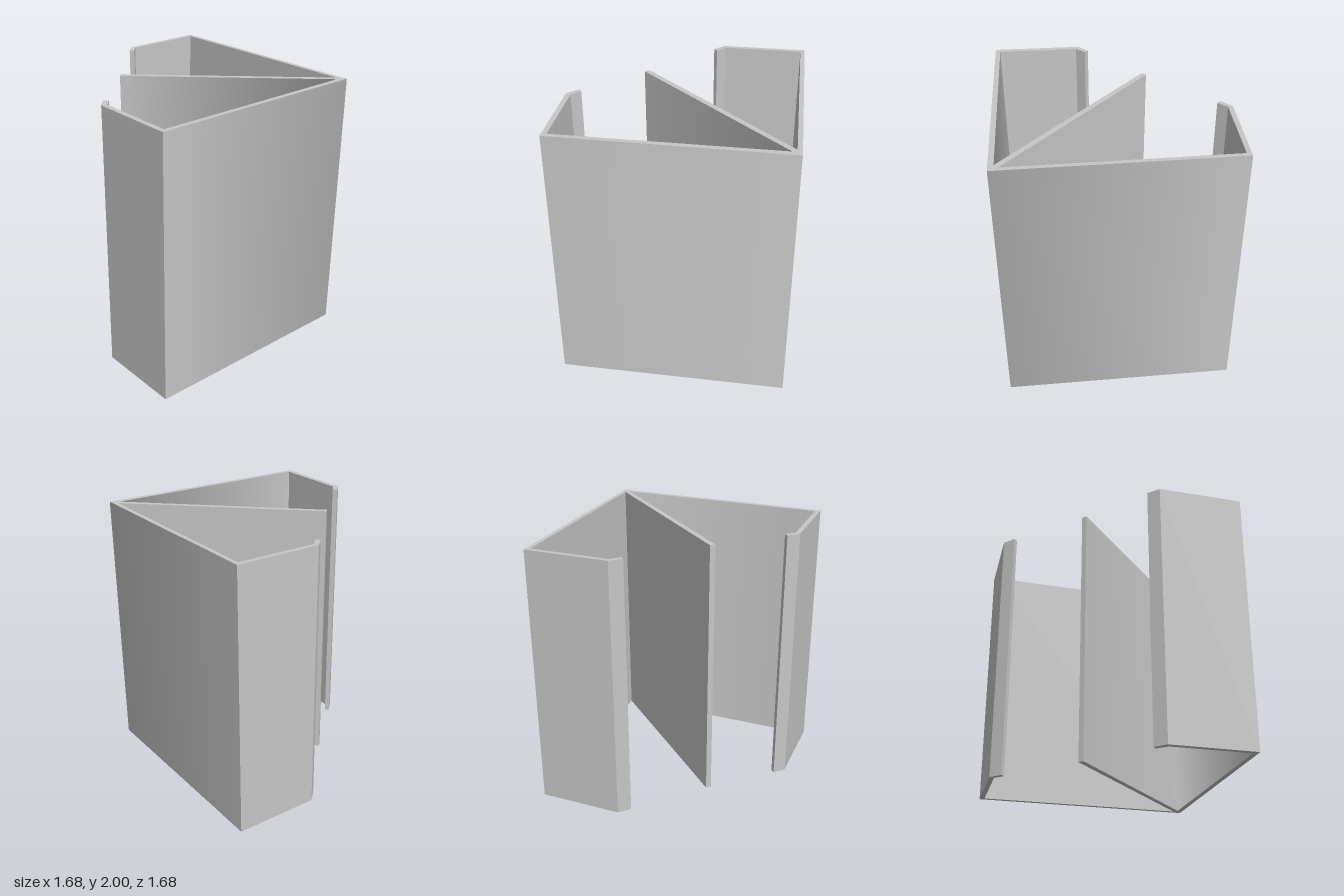
import * as THREE from 'three';

const HEIGHT = 2;
const OUTER_CORNER = [0.84, 0.84];
const FIN_ROOT = [0.775, 0.8];

// Plan outline as [x, z], walked once around the wall
const OUTLINE = [
  // front wall, right wall and back flange, outside
  [-0.84, 0.835], OUTER_CORNER, [0.8, -0.84], [0.17, -0.835],
  // back lip
  [0.095, -0.76], [0.12, -0.735], [0.18, -0.8],
  // back flange and right wall, inside
  [0.768, -0.805], [0.805, 0.772],
  // diagonal fin
  [-0.335, -0.285], [-0.365, -0.257], FIN_ROOT,
  // front wall and left flange, inside
  [-0.803, 0.8], [-0.805, 0.212],
  // left lip
  [-0.745, 0.145], [-0.77, 0.12], [-0.843, 0.195],
];

// Blend the side normals along one vertical edge so the two walls shade as one
function smoothEdge(geometry, [x, z]) {
  const { position, normal } = geometry.attributes;
  const found = [];
  const sides = new Map();
  for (let i = 0; i < position.count; i++) {
    const near = Math.hypot(position.getX(i) - x, position.getZ(i) - z) < 1e-4;
    if (!near || Math.abs(normal.getY(i)) > 0.5) continue;
    found.push(i);
    const n = new THREE.Vector3().fromBufferAttribute(normal, i);
    sides.set(n.x.toFixed(2) + ',' + n.z.toFixed(2), n);
  }
  const sum = new THREE.Vector3();
  sides.forEach((n) => sum.add(n));
  sum.normalize();
  found.forEach((i) => normal.setXYZ(i, sum.x, sum.y, sum.z));
}

export function createModel() {
  const model = new THREE.Group();
  model.name = 'channelSection';

  const metal = new THREE.MeshStandardMaterial({ color: 0xc6c6c6 });
  metal.name = 'light grey metal';

  // Extrude the plan upward; shape y becomes -z
  const shape = new THREE.Shape(OUTLINE.map(([x, z]) => new THREE.Vector2(x, -z)));
  const geometry = new THREE.ExtrudeGeometry(shape, { depth: HEIGHT, bevelEnabled: false });
  geometry.rotateX(-Math.PI / 2);
  smoothEdge(geometry, OUTER_CORNER);
  smoothEdge(geometry, FIN_ROOT);

  const profile = new THREE.Mesh(geometry, metal);
  profile.name = 'lippedWallWithFin';
  model.add(profile);
  return model;
}
